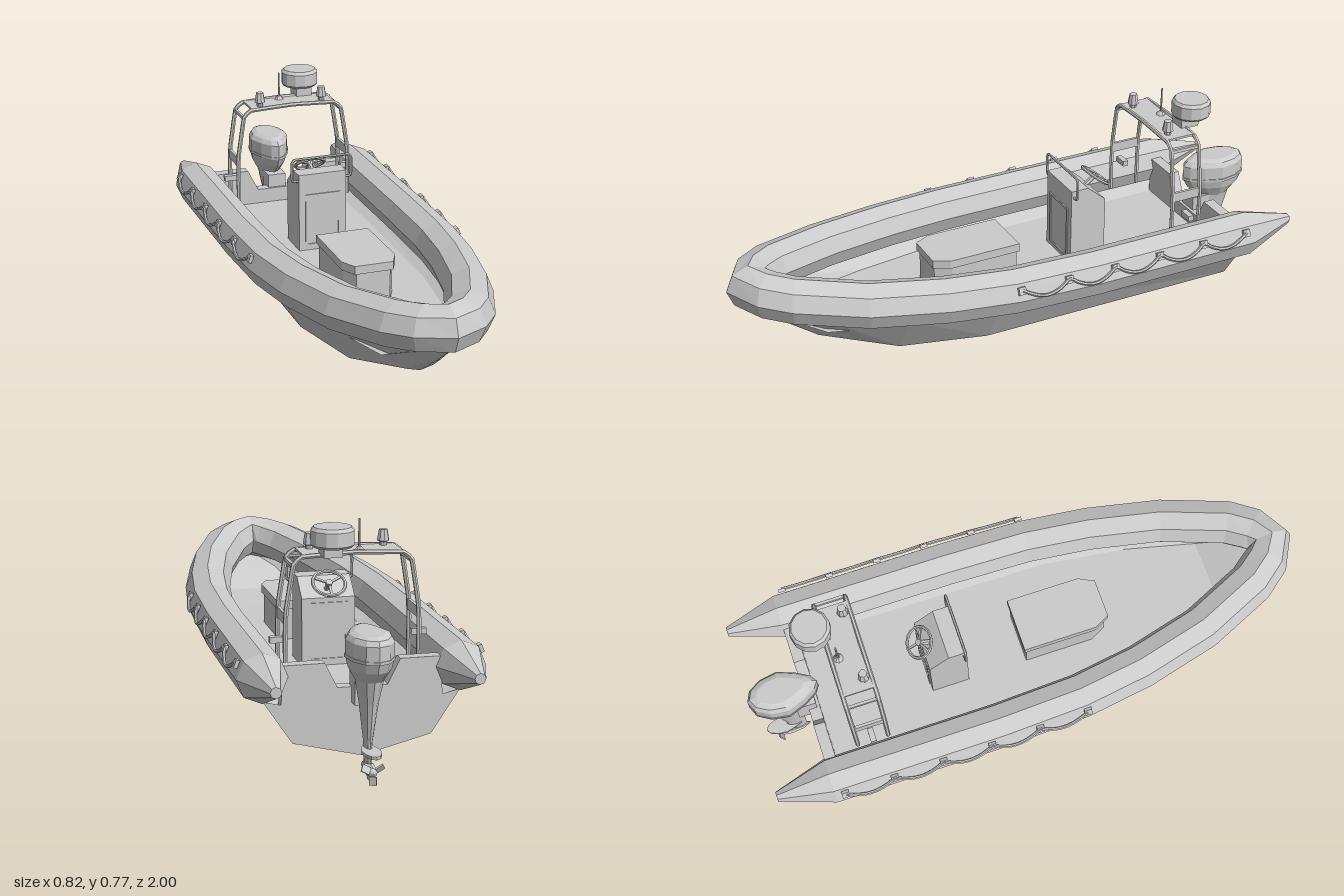
import * as THREE from 'three';

const mat = new THREE.MeshStandardMaterial({ color: 0xcccccc, flatShading: true });
const V = (x, y, z) => new THREE.Vector3(x, y, z);

// Skin over cross-sections; each ring runs counter-clockwise about the direction of advance.
function loft(rings) {
  const n = rings[0].length, pos = [], idx = [];
  rings.forEach(r => r.forEach(p => pos.push(p.x, p.y, p.z)));
  for (let i = 0; i < rings.length - 1; i++) for (let j = 0; j < n; j++) {
    const a = i * n + j, b = i * n + (j + 1) % n;
    idx.push(a, b, b + n, a, b + n, a + n);
  }
  [0, rings.length - 1].forEach((k, end) => {
    const c = rings[k].reduce((s, p) => s.add(p), V(0, 0, 0)).divideScalar(n);
    const ci = pos.length / 3;
    pos.push(c.x, c.y, c.z);
    for (let j = 0; j < n; j++) {
      const a = k * n + j, b = k * n + (j + 1) % n;
      idx.push(ci, end ? a : b, end ? b : a);
    }
  });
  const g = new THREE.BufferGeometry();
  g.setAttribute('position', new THREE.Float32BufferAttribute(pos, 3));
  g.setIndex(idx);
  const flat = g.toNonIndexed();
  flat.computeVertexNormals();
  return flat;
}

function add(parent, name, geo, x = 0, y = 0, z = 0) {
  const m = new THREE.Mesh(geo, mat);
  m.name = name;
  m.position.set(x, y, z);
  parent.add(m);
  return m;
}
const box = (w, h, d) => new THREE.BoxGeometry(w, h, d);
const cyl = (r1, r2, h, n = 8) => new THREE.CylinderGeometry(r1, r2, h, n);
const shape = pts => new THREE.Shape(pts.map(p => new THREE.Vector2(...p)));
const extrude = (pts, depth) => new THREE.ExtrudeGeometry(shape(pts), { depth, bevelEnabled: false });
// Profile given as (z, y), extruded across x and centred
const sideExtrude = (pts, w) => extrude(pts, w).rotateY(-Math.PI / 2).translate(w / 2, 0, 0);
const pipe = (pts, r, tension = 0.1, seg = 32) => new THREE.TubeGeometry(
  new THREE.CatmullRomCurve3(pts.map(p => V(...p)), false, 'catmullrom', tension), seg, r, 6);

// Half of the collar centre line, stern to bow: x, y, z, radius
const COLLAR = [
  [0.315, 0.335, -1, 0.018], [0.316, 0.325, -0.81, 0.081], [0.316, 0.325, -0.2, 0.081],
  [0.306, 0.33, 0.1, 0.081], [0.275, 0.34, 0.33, 0.081], [0.215, 0.357, 0.58, 0.081],
  [0.122, 0.383, 0.8, 0.081], [0.066, 0.393, 0.873, 0.08], [0, 0.399, 0.915, 0.08]];

function collar() {
  const path = [...COLLAR, ...COLLAR.slice(0, -1).reverse().map(([x, ...r]) => [-x, ...r])];
  return loft(path.map(([x, y, z, r], i) => {
    const a = path[Math.max(i - 1, 0)], b = path[Math.min(i + 1, path.length - 1)];
    const n = V(b[2] - a[2], 0, a[0] - b[0]).normalize();
    return Array.from({ length: 8 }, (_, j) => {
      const t = j * Math.PI / 4;
      return V(x, y + r * Math.sin(t), z).addScaledVector(n, r * Math.cos(t));
    });
  }));
}

// Hull stations: z, keel y, chine x/y, gunwale x/y, floor y
function hull() {
  const st = [
    [-0.81, 0.055, 0.222, 0.11, 0.315, 0.25, 0.225], [0.15, 0.058, 0.218, 0.11, 0.3, 0.255, 0.225],
    [0.45, 0.085, 0.15, 0.115, 0.25, 0.27, 0.225], [0.7, 0.16, 0.045, 0.172, 0.168, 0.295, 0.235],
    [0.82, 0.245, 0.02, 0.25, 0.105, 0.312, 0.29], [0.925, 0.325, 0.004, 0.327, 0.01, 0.335, 0.333]];
  return loft(st.map(([z, k, cx, cy, gx, gy, fy]) => {
    const fx = gx * 0.8;
    return [[0, k], [cx, cy], [gx, gy], [fx, fy], [-fx, fy], [-gx, gy], [-cx, cy]].map(p => V(p[0], p[1], z));
  }));
}

// Egg-shaped horizontal sections: y, centre z, half length, half width
const eggLoft = rows => loft(rows.map(([y, zc, l, w]) => Array.from({ length: 12 }, (_, i) => {
  const a = i * Math.PI / 6, c = Math.cos(a);
  return V(w * Math.sin(a) * (1 - 0.4 * Math.max(0, c)), y, zc + l * c);
})));

function outboard() {
  const g = new THREE.Group();
  g.name = 'outboardMotor';
  add(g, 'cowl', eggLoft([[0.325, -0.88, 0.065, 0.045], [0.365, -0.878, 0.105, 0.066], [0.4, -0.875, 0.122, 0.074],
    [0.452, -0.875, 0.123, 0.074], [0.468, -0.878, 0.11, 0.064], [0.476, -0.88, 0.085, 0.046]]));
  add(g, 'cowlBand', eggLoft([[0.396, -0.875, 0.124, 0.077], [0.406, -0.875, 0.125, 0.077]]));
  add(g, 'leg', eggLoft([[0.045, -0.87, 0.035, 0.01], [0.12, -0.868, 0.034, 0.013],
    [0.25, -0.872, 0.055, 0.03], [0.33, -0.88, 0.068, 0.045]]));
  add(g, 'cavitationPlate', eggLoft([[0.095, -0.91, 0.068, 0.03], [0.105, -0.91, 0.068, 0.03]]));
  add(g, 'gearcase', new THREE.LatheGeometry([[0, -0.06], [0.015, -0.05], [0.02, -0.01], [0.015, 0.035], [0, 0.065]]
    .map(p => new THREE.Vector2(...p)), 8).rotateX(Math.PI / 2), 0, 0.04, -0.885);
  add(g, 'skeg', sideExtrude([[-0.85, 0.035], [-0.91, 0.035], [-0.91, 0.005], [-0.885, 0.005]], 0.008));
  for (let i = 0; i < 3; i++) {
    const blade = add(g, 'propellerBlade', box(0.024, 0.028, 0.005).rotateY(0.6).translate(0, 0.026, 0), 0, 0.04, -0.935);
    blade.rotation.z = i * Math.PI * 2 / 3 + Math.PI / 3;
  }
  add(g, 'mountBracket', box(0.07, 0.1, 0.07), 0, 0.28, -0.815);
  return g;
}

function console_() {
  const g = new THREE.Group();
  g.name = 'helmConsole';
  add(g, 'body', sideExtrude([[-0.24, 0.22], [-0.24, 0.515], [-0.305, 0.515], [-0.375, 0.455], [-0.375, 0.22]], 0.18));
  // Raised frames on the front and back faces
  [-0.24, -0.375].forEach(z => {
    [-1, 1].forEach(s => add(g, 'panelFrameSide', box(0.008, 0.19, 0.008), s * 0.062, 0.34, z));
    [0.245, 0.435].forEach(y => add(g, 'panelFrameBar', box(0.132, 0.008, 0.008), 0, y, z));
  });
  add(g, 'grabRail', pipe([[-0.09, 0.49, -0.25], [-0.108, 0.49, -0.25], [-0.112, 0.5, -0.25], [-0.112, 0.56, -0.25],
    [-0.1, 0.572, -0.25], [0.1, 0.572, -0.25], [0.112, 0.56, -0.25], [0.112, 0.5, -0.25],
    [0.108, 0.49, -0.25], [0.09, 0.49, -0.25]], 0.005, 0.1, 60));
  const wheel = new THREE.Group();
  wheel.name = 'steeringWheel';
  wheel.position.set(0, 0.505, -0.382);
  wheel.rotation.x = -Math.PI / 2 - 0.7 + 0.05;
  wheel.scale.y = 0.95;
  add(wheel, 'rim', new THREE.TorusGeometry(0.055, 0.006, 6, 16));
  for (let i = 0; i < 3; i++) {
    add(wheel, 'spoke', box(0.008, 0.055, 0.005).translate(0, 0.027, 0)).rotation.z = i * Math.PI * 2 / 3;
  }
  add(wheel, 'hub', cyl(0.012, 0.012, 0.014).rotateX(Math.PI / 2));
  g.add(wheel);
  add(g, 'steeringColumn', pipe([[0, 0.47, -0.335], [0, 0.505, -0.382]], 0.009, 0, 2));
  return g;
}

function arch() {
  const g = new THREE.Group();
  g.name = 'radarArch';
  const half = [[0.216, 0.3], [0.216, 0.43], [0.213, 0.5], [0.19, 0.642], [0.163, 0.667]];
  const pts = [...half, [0, 0.674], ...half.slice().reverse().map(([x, y]) => [-x, y])];
  [-0.575, -0.685].forEach(z => add(g, 'hoop', pipe(pts.map(p => [...p, z]), 0.008, 0.1, 60)));
  add(g, 'platform', box(0.32, 0.008, 0.11), 0, 0.67, -0.63);
  [-1, 1].forEach(s => {
    add(g, 'sideStep', box(0.01, 0.035, 0.11), s * 0.214, 0.472, -0.63);
    add(g, 'sideBar', box(0.01, 0.012, 0.11), s * 0.19, 0.64, -0.63);
    add(g, 'footBracket', box(0.05, 0.02, 0.02), s * 0.23, 0.395, -0.63);
    add(g, 'navigationLight', new THREE.LatheGeometry([[0, 0], [0.012, 0], [0.012, 0.012], [0.02, 0.016], [0.014, 0.052], [0, 0.052]]
      .map(p => new THREE.Vector2(...p)), 8), s * 0.12, 0.673, -0.6);
  });
  add(g, 'antennaBase', cyl(0.006, 0.018, 0.014), -0.026, 0.68, -0.66);
  add(g, 'antenna', cyl(0.003, 0.004, 0.09, 6), -0.026, 0.73, -0.66);
  add(g, 'radarPedestal', box(0.06, 0.04, 0.07), 0.075, 0.69, -0.7);
  add(g, 'radarDrum', new THREE.LatheGeometry([[0, 0.704], [0.062, 0.704], [0.069, 0.712], [0.069, 0.756], [0.06, 0.767], [0, 0.767]]
    .map(p => new THREE.Vector2(...p)), 12), 0.075, 0, -0.72);
  return g;
}

// Grab lines draped in scallops along each side, with a patch at each anchor
function grabLine(s) {
  const g = new THREE.Group();
  g.name = s > 0 ? 'leftGrabLine' : 'rightGrabLine';
  const zs = [0.1, -0.075, -0.25, -0.425, -0.6, -0.775], pts = [];
  const inset = z => Math.max(0, z + 0.2) * 0.034;
  zs.forEach((z, i) => {
    add(g, 'anchorPatch', box(0.012, 0.026, 0.026), s * (0.39 - inset(z)), 0.368, z).rotation.z = s * 0.4;
    for (let k = 0; k < 6 && i < 5; k++) {
      const t = k / 6, zz = z - 0.175 * t, sag = Math.sin(Math.PI * t);
      pts.push([s * (0.393 + 0.012 * sag - inset(zz)), 0.372 - 0.033 * sag, zz]);
    }
  });
  pts.push([s * 0.393, 0.372, -0.775]);
  add(g, 'rope', pipe(pts, 0.006, 0.5, 90));
  return g;
}

export function createModel() {
  const model = new THREE.Group();
  model.name = 'inflatableBoat';
  add(model, 'collar', collar());
  add(model, 'hull', hull());

  // Transom with a cut-out for the motor
  add(model, 'transom', extrude([[-0.26, 0.2], [0.26, 0.2], [0.25, 0.36], [0.12, 0.36], [0.08, 0.28],
    [-0.08, 0.28], [-0.12, 0.36], [-0.25, 0.36]], 0.04), 0, 0, -0.81);

  // Storage locker with chamfered forward corners
  const lockerPlan = (e) => [[-0.093 - e, 0.03 + e], [-0.093 - e, -0.225 - e], [-0.065 - e, -0.28 - e],
    [0.065 + e, -0.28 - e], [0.093 + e, -0.225 - e], [0.093 + e, 0.03 + e]];
  add(model, 'lockerBody', extrude(lockerPlan(-0.004), 0.11).rotateX(-Math.PI / 2), 0, 0.222, 0);
  add(model, 'lockerLid', extrude(lockerPlan(0.004), 0.03).rotateX(-Math.PI / 2), 0, 0.335, 0);

  model.add(console_(), arch(), outboard(), grabLine(1), grabLine(-1));
  return model;
}
